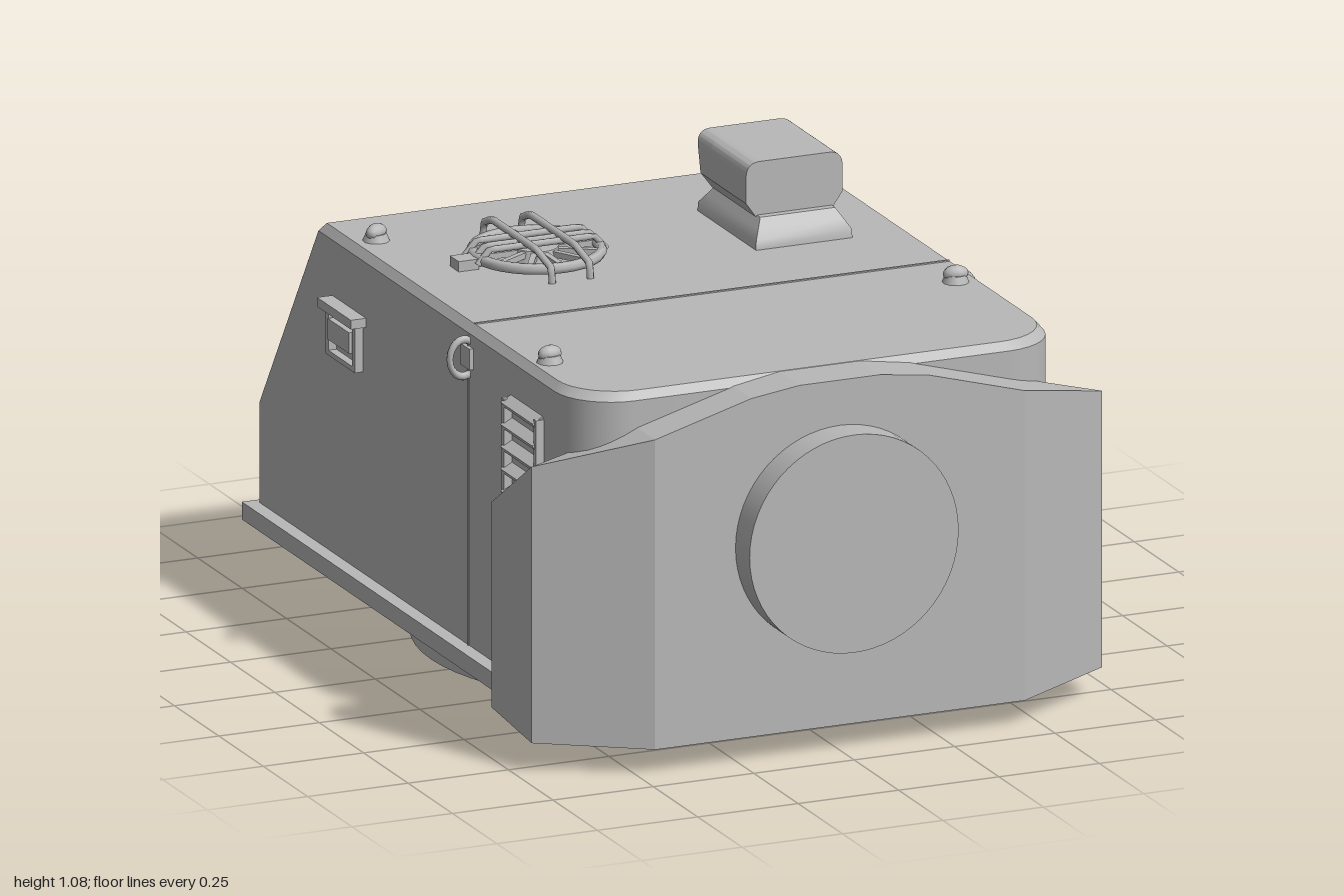
import * as THREE from 'three';
import { mergeVertices, toCreasedNormals } from 'three/addons/utils/BufferGeometryUtils.js';

const steel = new THREE.MeshStandardMaterial({ color: 0xb8b8b8, side: THREE.DoubleSide });
steel.name = 'bareSteel';

const W = 0.605, FRONT = 0.82, BACK = -0.98, ROOF = 0.885, RING_Z = -0.085;

function add(parent, name, geo, x = 0, y = 0, z = 0) {
  const m = new THREE.Mesh(geo, steel);
  m.name = name;
  m.position.set(x, y, z);
  parent.add(m);
  return m;
}
const box = (parent, name, w, h, d, x, y, z) => add(parent, name, new THREE.BoxGeometry(w, h, d), x, y, z);

function fromTriangles(tris, crease = 0.6) {
  const g = new THREE.BufferGeometry();
  g.setAttribute('position', new THREE.Float32BufferAttribute(tris.flat(), 3));
  return toCreasedNormals(mergeVertices(g), crease);
}

function tube(points, r) {
  const path = new THREE.CurvePath();
  const v = points.map((p) => new THREE.Vector3(...p));
  for (let i = 1; i < v.length; i++) path.add(new THREE.LineCurve3(v[i - 1], v[i]));
  return new THREE.TubeGeometry(path, 24, r, 6);
}

// Plan outline with rounded front corners, as [x, z]
function plan(back, inset = 0) {
  const w = W - inset, f = FRONT - inset, r = 0.14, pts = [[w, back]];
  for (const side of [1, -1]) {
    for (let i = 0; i <= 8; i++) {
      const a = (side > 0 ? i / 8 : 1 - i / 8) * Math.PI / 2;
      pts.push([side * (w - r + r * Math.cos(a)), f - r + r * Math.sin(a)]);
    }
  }
  pts.push([-w, back]);
  return pts;
}

// Horizontal plate from a plan outline, top face at y
function slab(parent, name, pts, hole, y, depth) {
  const s = new THREE.Shape(pts.map((p) => new THREE.Vector2(...p)));
  s.holes.push(new THREE.Path().absarc(0, RING_Z, hole, 0, Math.PI * 2, true));
  const g = new THREE.ExtrudeGeometry(s, { depth, bevelEnabled: false, curveSegments: 48 });
  return add(parent, name, g.rotateX(Math.PI / 2), 0, y, 0);
}

function hullShell() {
  const levels = [[0.11, BACK, 0], [0.36, BACK, 0], [0.865, -0.648, 0], [ROOF, -0.635, 0.015]];
  const loops = levels.map(([y, b, inset]) => plan(b, inset).map(([x, z]) => [x, y, z]));
  const tris = [], n = loops[0].length;
  for (let l = 0; l < 3; l++) {
    for (let i = 0; i < n; i++) {
      if (l > 0 && i === n - 1) continue; // sloped rear is a separate panel
      const j = (i + 1) % n, a = loops[l], b = loops[l + 1];
      tris.push(...a[i], ...b[i], ...a[j], ...b[i], ...b[j], ...a[j]);
    }
  }
  for (let i = 1; i < n - 1; i++) tris.push(...loops[3][0], ...loops[3][i + 1], ...loops[3][i]);
  return fromTriangles(tris);
}

// Sloped rear plate with a recessed window
function rearPanel() {
  const g = new THREE.Group();
  g.name = 'rearPanel';
  const up = new THREE.Vector3(0, 0.525, 0.345).normalize();
  const out = new THREE.Vector3(0, 0.345, -0.525).normalize();
  g.quaternion.setFromRotationMatrix(new THREE.Matrix4().makeBasis(new THREE.Vector3(-1, 0, 0), up, out));
  g.position.set(0, 0.36, BACK);
  const s = new THREE.Shape([[-W, 0], [W, 0], [W, 0.604], [W - 0.015, 0.628], [-W + 0.015, 0.628], [-W, 0.604]]
    .map((p) => new THREE.Vector2(...p)));
  s.holes.push(new THREE.Path([[0.2, 0.22], [0.2, 0.47], [0.4, 0.47], [0.4, 0.22]].map((p) => new THREE.Vector2(...p))));
  add(g, 'rearSlope', new THREE.ShapeGeometry(s));
  for (const x of [0.2, 0.4]) box(g, 'windowSide', 0.016, 0.25, 0.08, x, 0.345, -0.034);
  for (const y of [0.22, 0.47]) box(g, 'windowEdge', 0.216, 0.016, 0.08, 0.3, y, -0.034);
  box(g, 'windowPane', 0.2, 0.26, 0.01, 0.3, 0.345, -0.055).rotation.x = 0.12;
  box(g, 'windowCover', 0.2, 0.13, 0.009, 0.3, 0.54, 0.003);
  return g;
}

// Wrap-around front shield: outer x,z / inner x,z / bottom, top
function shieldGeometry() {
  const half = [
    [0.735, 0.62, 0.6, 0.6, 0.11, 0.6], [0.71, 0.79, 0.6, 0.73, 0.07, 0.73],
    [0.46, 0.92, 0.46, 0.8, 0.06, 0.8], [0.22, 0.92, 0.22, 0.8, 0.06, 0.868],
    [0.1, 0.92, 0.1, 0.8, 0.06, 0.884]];
  const all = [...half, ...half.slice().reverse().map(([a, b, c, d, e, f]) => [-a, b, -c, d, e, f])];
  const sec = all.map(([ox, oz, ix, iz, b, t]) => [[ox, b, oz], [ox, t, oz], [ix, t, iz], [ix, b, iz]]);
  const tris = [];
  const quad = (a, b, c, d) => tris.push(...a, ...b, ...c, ...a, ...c, ...d);
  for (let i = 0; i < sec.length - 1; i++) {
    for (let k = 0; k < 4; k++) {
      const m = (k + 1) % 4;
      quad(sec[i][k], sec[i][m], sec[i + 1][m], sec[i + 1][k]);
    }
  }
  quad(...sec[0].slice().reverse());
  quad(...sec[sec.length - 1]);
  return fromTriangles(tris, 0.1);
}

// Periscope: flared foot with a hooded head open to the rear
function periscope() {
  const g = new THREE.Group();
  g.name = 'periscope';
  g.position.set(0.34, ROOF, -0.2);
  const foot = new THREE.BoxGeometry(0.24, 0.065, 0.33, 1, 3, 1);
  const p = foot.attributes.position;
  for (let i = 0; i < p.count; i++) {
    const t = p.getY(i) / 0.065 + 0.5, k = t < 0.3 ? 1 : 1 - 0.32 * (t - 0.3);
    p.setX(i, p.getX(i) * k);
    p.setZ(i, p.getZ(i) * k);
  }
  foot.computeVertexNormals();
  add(g, 'periscopeFoot', foot, 0, 0.0325, -0.015);
  // Hood arch, extruded front to back
  const arch = (w, y0, y1, r) => {
    const s = new THREE.Shape();
    s.moveTo(-w + 0.025, y0);
    s.lineTo(w - 0.025, y0);
    s.lineTo(w, y0 + 0.035);
    s.lineTo(w, y1 - r);
    s.quadraticCurveTo(w, y1, w - r, y1);
    s.lineTo(-w + r, y1);
    s.quadraticCurveTo(-w, y1, -w, y1 - r);
    s.lineTo(-w, y0 + 0.035);
    s.closePath();
    return s;
  };
  const lean = (geo) => { // rear face leans outward toward the top
    const q = geo.attributes.position;
    for (let i = 0; i < q.count; i++) if (q.getZ(i) < 0.01) q.setZ(i, -0.03 * (q.getY(i) - 0.06) / 0.13);
    return toCreasedNormals(geo, 0.6);
  };
  const hood = arch(0.12, 0.06, 0.192, 0.035);
  hood.holes.push(new THREE.Path(arch(0.105, 0.072, 0.18, 0.03).getPoints(6)));
  add(g, 'periscopeHood', lean(new THREE.ExtrudeGeometry(hood, { depth: 0.05, bevelEnabled: false })), 0, 0, -0.155);
  add(g, 'periscopeHead', toCreasedNormals(new THREE.ExtrudeGeometry(arch(0.12, 0.06, 0.192, 0.035),
    { depth: 0.2, bevelEnabled: false }), 0.6), 0, 0, -0.106);
  return g;
}

// Round roof vent with guard bars
function roofVent() {
  const g = new THREE.Group();
  g.name = 'roofVent';
  g.position.set(-0.26, ROOF, -0.2);
  add(g, 'ventRim', new THREE.TorusGeometry(0.148, 0.013, 6, 32).rotateX(Math.PI / 2), 0, 0.02, 0);
  add(g, 'ventHub', new THREE.CylinderGeometry(0.05, 0.06, 0.03, 16), 0, 0.015, 0);
  for (let i = 0; i < 6; i++) box(g, 'ventSpoke', 0.29, 0.014, 0.014, 0, 0.02, 0).rotation.y = i * Math.PI / 6;
  for (const x of [-0.045, 0.05]) {
    add(g, 'guardBar', tube([[x, 0, 0.19], [x, 0.035, 0.185], [x, 0.055, 0.1], [x, 0.055, -0.15], [x, 0.035, -0.195], [x, 0, -0.2]], 0.009));
  }
  for (const z of [-0.045, 0, 0.03]) {
    add(g, 'crossBar', tube([[-0.16, 0.012, z], [-0.13, 0.045, z], [0.13, 0.045, z], [0.16, 0.012, z]], 0.008));
  }
  box(g, 'ventLatch', 0.05, 0.025, 0.05, -0.18, 0.012, 0);
  return g;
}

// Fittings of one side wall; s = +1 or -1
function sideFittings(s) {
  const g = new THREE.Group();
  g.name = s > 0 ? 'leftFittings' : 'rightFittings';
  const x = s * W;
  for (const z of [0.435, 0.615]) box(g, 'louvreFrame', 0.04, 0.28, 0.014, x, 0.64, z);
  for (let i = 0; i < 6; i++) {
    box(g, 'louvreSlat', 0.035, 0.012, 0.18, x + s * 0.008, 0.51 + i * 0.053, 0.525).rotation.z = -s * 0.5;
  }
  box(g, 'bracketTop', 0.06, 0.022, 0.19, x + s * 0.008, 0.722, -0.475);
  for (const z of [-0.405, -0.555]) box(g, 'bracketLeg', 0.04, 0.12, 0.016, x, 0.66, z);
  box(g, 'bracketBlock', 0.05, 0.05, 0.12, x, 0.665, -0.48);
  box(g, 'bracketFoot', 0.04, 0.012, 0.16, x, 0.605, -0.48);
  add(g, 'liftingRing', new THREE.TorusGeometry(0.04, 0.009, 8, 20).scale(0.85, 1.1, 1), x + s * 0.014, 0.808, 0.2);
  box(g, 'ringMount', 0.02, 0.05, 0.05, x, 0.81, 0.2);
  box(g, 'wallSeam', 0.006, 0.74, 0.006, x, 0.49, 0.2);
  return g;
}

export function createModel() {
  const model = new THREE.Group();
  model.name = 'turret';

  add(model, 'hull', hullShell());
  model.add(rearPanel());
  slab(model, 'hullFloor', plan(BACK), 0.55, 0.12, 0.01);
  slab(model, 'baseFlange', [[-0.64, -1], [0.64, -1], [0.64, 0.62], [0.54, 0.72], [-0.54, 0.72], [-0.64, 0.62]], 0.55, 0.12, 0.042);

  // Turret ring under the floor
  const ring = [[0.545, 0], [0.574, 0], [0.574, 0.1], [0.545, 0.1], [0.545, 0]].map((p) => new THREE.Vector2(...p));
  add(model, 'turretRing', toCreasedNormals(new THREE.LatheGeometry(ring, 64), 0.6), 0, 0, RING_Z);

  add(model, 'frontShield', shieldGeometry());
  add(model, 'gunCollar', new THREE.CylinderGeometry(0.26, 0.26, 0.09, 64).rotateX(Math.PI / 2), 0, 0.516, 0.955);

  model.add(periscope(), roofVent(), sideFittings(1), sideFittings(-1));

  // Roof seam and lifting studs
  box(model, 'roofSeam', 1.18, 0.006, 0.006, 0, ROOF, 0.2);
  for (const [x, z, a] of [[-0.54, -0.47, 0.5], [0.53, -0.47, -0.5], [0.54, 0.35, -0.2], [-0.55, 0.53, 0.1]]) {
    const stud = new THREE.Group();
    stud.name = 'roofStud';
    stud.position.set(x, ROOF, z);
    stud.rotation.y = a;
    add(stud, 'studBase', new THREE.CylinderGeometry(0.024, 0.032, 0.02, 10), 0, 0.008, 0);
    add(stud, 'studHead', new THREE.SphereGeometry(0.02, 10, 8).scale(1.5, 1, 1), 0, 0.02, 0);
    model.add(stud);
  }
  return model;
}
